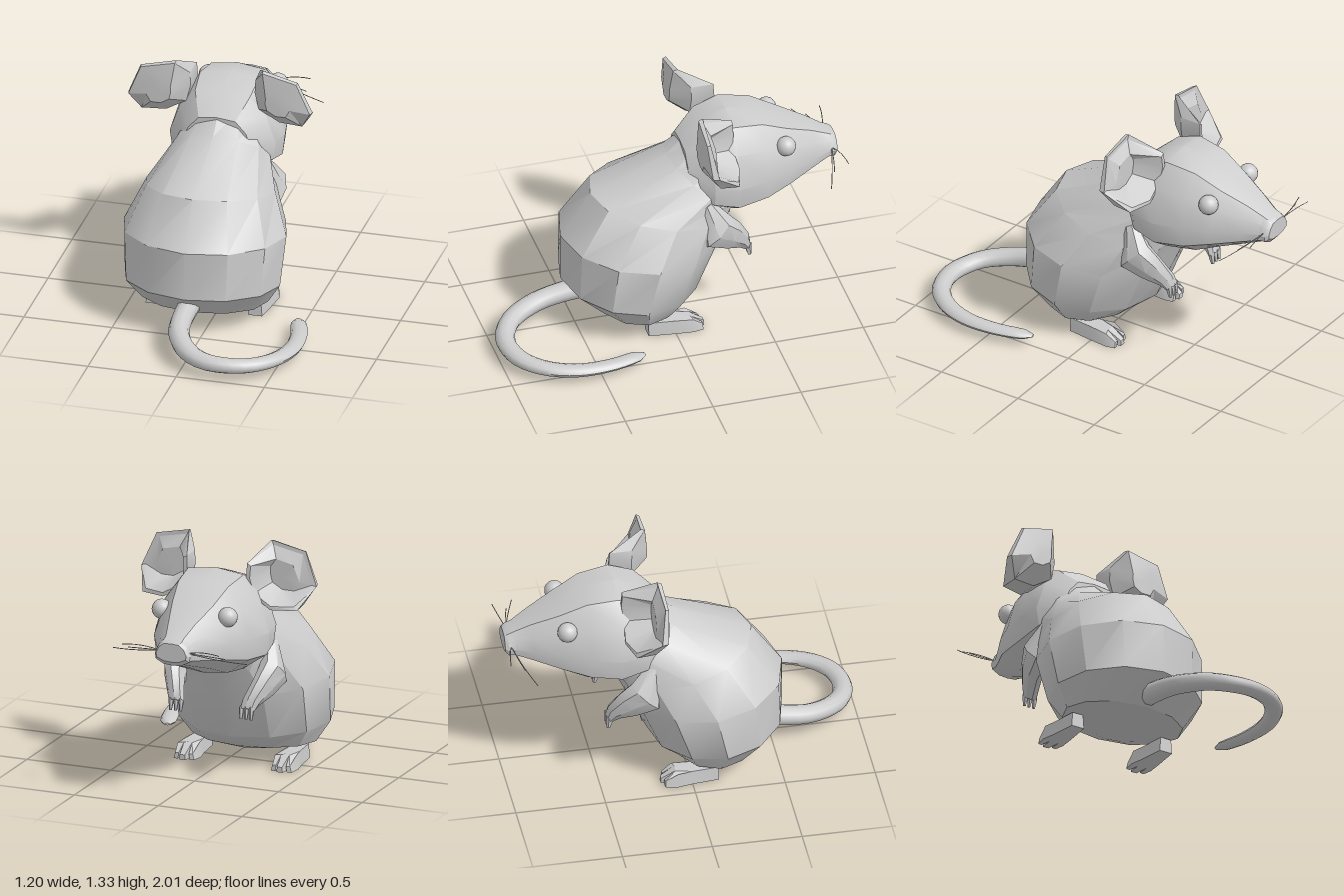
import * as THREE from 'three';
import { toCreasedNormals } from 'three/addons/utils/BufferGeometryUtils.js';

const CX = -0.075; // the animal's own mid-plane
const fur = new THREE.MeshStandardMaterial({ color: 0xcccccc });
fur.name = 'grey fur';

// Skin a list of closed rings (each an array of [x, y, z]) and cap both ends.
function loft(rings, crease = 0.5) {
  const n = rings[0].length;
  const tris = [];
  const centre = (r) => [0, 1, 2].map((k) => r.reduce((s, p) => s + p[k], 0) / n);
  for (let i = 0; i < rings.length - 1; i++) {
    for (let j = 0; j < n; j++) {
      const k = (j + 1) % n;
      const a = rings[i][j], b = rings[i][k], c = rings[i + 1][k], d = rings[i + 1][j];
      tris.push([a, b, c], [a, c, d]);
    }
  }
  const first = rings[0], last = rings[rings.length - 1];
  const c0 = centre(first), c1 = centre(last);
  for (let j = 0; j < n; j++) {
    const k = (j + 1) % n;
    tris.push([c0, first[k], first[j]], [c1, last[j], last[k]]);
  }
  // turn the faces outwards if the enclosed volume is negative
  let volume = 0;
  for (const [a, b, c] of tris) {
    volume += a[0] * (b[1] * c[2] - b[2] * c[1]) - a[1] * (b[0] * c[2] - b[2] * c[0]) + a[2] * (b[0] * c[1] - b[1] * c[0]);
  }
  if (volume < 0) tris.forEach((t) => t.reverse());
  const g = new THREE.BufferGeometry();
  g.setAttribute('position', new THREE.Float32BufferAttribute(tris.flat(2), 3));
  return toCreasedNormals(g, crease);
}

const lerp = THREE.MathUtils.lerp;

// Tilted oval ring between two points [z, y] of the side outline, w = half width.
function oval(a, b, w, x, sides) {
  return Array.from({ length: sides }, (_, i) => {
    const t = (i / sides) * Math.PI * 2;
    const f = (1 - Math.cos(t)) / 2;
    return [x + w * Math.sin(t), lerp(a[1], b[1], f), lerp(a[0], b[0], f)];
  });
}

export function createModel() {
  const model = new THREE.Group();
  const add = (name, geometry, parent = model) => {
    const mesh = new THREE.Mesh(geometry, fur);
    mesh.name = name;
    parent.add(mesh);
    return mesh;
  };

  // Body: back point, front point, half width
  const bodyRings = [
    [[0.22, 0.065], [0.0, 0.06], 0.16],
    [[0.4, 0.1], [-0.09, 0.095], 0.365],
    [[0.56, 0.25], [-0.2, 0.18], 0.44],
    [[0.56, 0.53], [-0.32, 0.45], 0.46],
    [[0.39, 0.78], [-0.39, 0.6], 0.365],
    [[-0.04, 0.96], [-0.42, 0.66], 0.27],
    [[-0.18, 1.08], [-0.44, 0.76], 0.2],
  ];
  add('body', loft(bodyRings.map(([b, f, w]) => oval(b, f, w, CX, 12))));

  // Head: z, top, bottom, half width of each section
  const half = [[0, 1], [0.52, 0.96], [0.82, 0.74], [1, 0.42], [0.95, 0.2], [0.5, 0.03], [0, 0]];
  const section = [...half, ...half.slice(1, -1).reverse().map(([x, y]) => [-x, y])];
  const headRings = [
    [-0.12, 1.04, 0.74, 0.2], [-0.24, 1.15, 0.67, 0.3], [-0.38, 1.2, 0.62, 0.318],
    [-0.55, 1.175, 0.645, 0.285], [-0.7, 1.095, 0.71, 0.23], [-0.85, 1.02, 0.765, 0.15],
    [-0.94, 0.965, 0.8, 0.105], [-0.975, 0.95, 0.805, 0.105], [-0.995, 0.935, 0.83, 0.09],
  ];
  add('head', loft(headRings.map(([z, top, bottom, w]) =>
    section.map(([x, y]) => [CX + x * w, lerp(bottom, top, y), z]))));

  // Tail: a flattened tapering tube curling round on the ground
  const path = new THREE.CatmullRomCurve3([
    [-0.075, 0.17, 0.4], [-0.08, 0.14, 0.6], [-0.06, 0.12, 0.72], [0.02, 0.1, 0.86], [0.12, 0.085, 0.93],
    [0.24, 0.08, 0.95], [0.38, 0.075, 0.91], [0.49, 0.07, 0.8], [0.55, 0.065, 0.64],
    [0.545, 0.06, 0.45], [0.485, 0.055, 0.24],
  ].map((p) => new THREE.Vector3(...p)));
  const tailRings = [];
  for (let i = 0; i <= 32; i++) {
    const u = i / 32;
    const p = path.getPointAt(u), t = path.getTangentAt(u);
    const side = new THREE.Vector3(t.z, 0, -t.x).normalize();
    const tip = u > 0.95 ? Math.sqrt(Math.max(0.1, 1 - ((u - 0.95) / 0.05) ** 2)) : 1;
    const r = lerp(0.062, 0.045, u) * tip, h = lerp(0.062, 0.02, u) * tip;
    tailRings.push(Array.from({ length: 10 }, (_, j) => {
      const a = (j / 10) * Math.PI * 2;
      const c = Math.cos(a) * r;
      return [p.x + side.x * c, p.y + Math.sin(a) * h, p.z + side.z * c];
    }));
  }
  add('tail', loft(tailRings, 0.9));

  for (const s of [1, -1]) {
    const X = (x) => CX + s * x;

    // Ear: thick back, rim and a hollow dish facing the snout
    const rim = [
      [0.175, 1.16, -0.37], [0.18, 1.24, -0.365], [0.245, 1.33, -0.18], [0.445, 1.285, -0.17],
      [0.522, 1.1, -0.2], [0.46, 0.99, -0.33], [0.32, 0.99, -0.37], [0.2, 1.06, -0.36],
    ];
    const earRing = (k, depth) => rim.map(([x, y, z]) =>
      [X(lerp(0.33, x, k)), lerp(1.14, y, k), depth(z)]);
    add('ear', loft([
      earRing(0.4, () => -0.14),
      earRing(0.96, (z) => z * 0.45 - 0.075),
      earRing(1, (z) => z),
      earRing(0.86, (z) => z),
      earRing(0.5, () => -0.215),
    ], 0.45));

    // Eye
    const eye = add('eye', new THREE.SphereGeometry(0.055, 16, 12));
    eye.position.set(X(0.197), 1.02, -0.67);

    // Arm: upper outline point, lower outline point, half thickness, distance from middle
    const arm = new THREE.Group();
    arm.name = 'arm';
    model.add(arm);
    const armRings = [
      [[-0.23, 0.78], [-0.16, 0.75], 0.04, 0.25], [[-0.33, 0.68], [-0.165, 0.51], 0.075, 0.285],
      [[-0.39, 0.61], [-0.29, 0.46], 0.06, 0.265], [[-0.45, 0.5], [-0.38, 0.43], 0.05, 0.225],
      [[-0.46, 0.44], [-0.42, 0.405], 0.045, 0.21],
    ];
    add('armLimb', loft(armRings.map(([a, b, w, x]) => oval(a, b, w, X(x), 8))), arm);
    for (const f of [-1, 0, 1]) {
      const x = X(0.21 + f * 0.03);
      add('finger', loft([
        oval([-0.46, 0.45], [-0.425, 0.41], 0.015, x, 5),
        oval([-0.46, 0.375], [-0.44, 0.37], 0.007, x, 5),
      ]), arm);
    }

    // Foot: notched sole outline, thickened, sloping down at the toes
    const sole = new THREE.Shape([
      [-0.04, -0.15], [0.04, -0.15], [0.06, 0], [0.07, 0.1], [0.06, 0.155], [0.035, 0.155], [0.03, 0.09],
      [0.02, 0.17], [-0.015, 0.17], [-0.025, 0.09], [-0.035, 0.155], [-0.06, 0.15], [-0.07, 0.08], [-0.055, 0],
    ].map((p) => new THREE.Vector2(...p)));
    const foot = new THREE.ExtrudeGeometry(sole, { depth: 0.08, bevelEnabled: false });
    foot.rotateX(-Math.PI / 2);
    const pos = foot.attributes.position;
    for (let i = 0; i < pos.count; i++) {
      const toe = THREE.MathUtils.smoothstep(-pos.getZ(i), 0.08, 0.17);
      if (pos.getY(i) > 0.01) {
        pos.setY(i, lerp(0.08, 0.03, toe));
        pos.setX(i, pos.getX(i) * 0.85);
      }
    }
    add('foot', toCreasedNormals(foot, 0.5)).position.x = X(0.29);

    // Whiskers
    const whiskers = new THREE.Group();
    whiskers.name = 'whiskers';
    model.add(whiskers);
    for (const [x, y, z] of [[0.29, 0.9, -1.0], [0.29, 0.86, -0.92], [0.4, 0.83, -0.87]]) {
      const hair = new THREE.QuadraticBezierCurve3(
        new THREE.Vector3(X(0.09), 0.88, -0.96),
        new THREE.Vector3(X(x * 0.6), y + 0.015, (z - 0.96) / 2 - 0.01),
        new THREE.Vector3(X(x), y, z));
      add('whisker', new THREE.TubeGeometry(hair, 6, 0.0025, 4), whiskers);
    }
  }
  return model;
}
